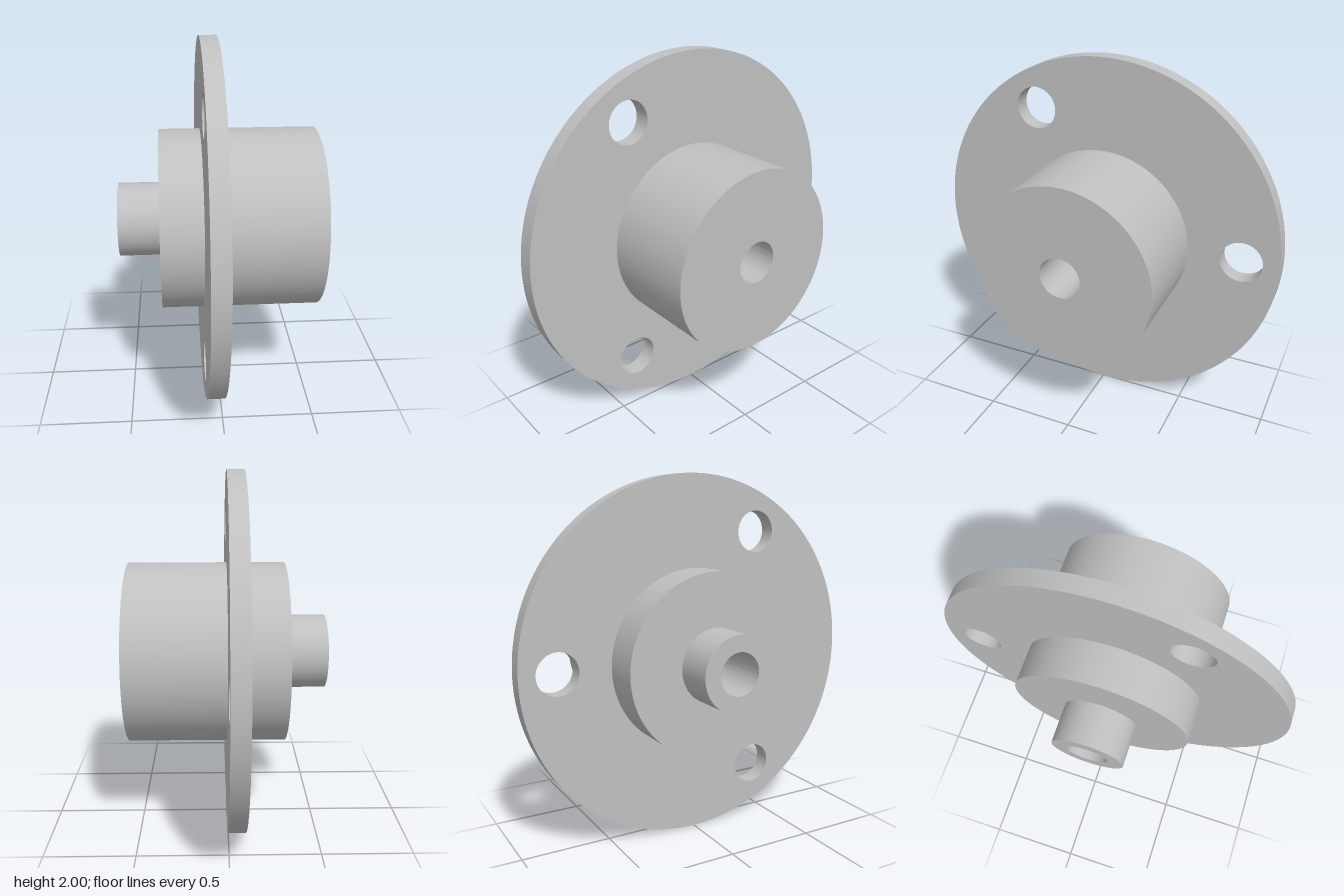
import * as THREE from 'three';
import { toCreasedNormals } from 'three/addons/utils/BufferGeometryUtils.js';

const SEGMENTS = 96;
const HUB_RADIUS = 0.5;
const HOLE_RADIUS = 0.115;

function circle(PathType, x, y, radius) {
  return new PathType().absarc(x, y, radius, 0, Math.PI * 2, false);
}

export function createModel() {
  const group = new THREE.Group();
  group.name = 'flangedHub';
  const metal = new THREE.MeshStandardMaterial({ color: 0xc0c0c0 });
  metal.name = 'light grey metal';

  function add(name, geometry) {
    const mesh = new THREE.Mesh(toCreasedNormals(geometry, 0.6), metal);
    mesh.name = name;
    mesh.position.y = 1;
    group.add(mesh);
  }

  // Stepped hub with a bore right through, turned about the x axis
  const profile = [
    [HOLE_RADIUS, -0.545], [0.205, -0.545], [0.205, -0.315],
    [HUB_RADIUS, -0.315], [HUB_RADIUS, 0.545],
    [HOLE_RADIUS, 0.545], [HOLE_RADIUS, -0.545],
  ].map(([r, x]) => new THREE.Vector2(r, x));
  add('hub', new THREE.LatheGeometry(profile, SEGMENTS).rotateZ(-Math.PI / 2));

  // Round flange with three evenly spaced bolt holes
  const disc = circle(THREE.Shape, 0, 0, 1);
  disc.holes.push(circle(THREE.Path, 0, 0, HUB_RADIUS));
  for (let i = 0; i < 3; i++) {
    const a = (i * Math.PI * 2) / 3;
    disc.holes.push(circle(THREE.Path, 0.795 * Math.cos(a), 0.795 * Math.sin(a), HOLE_RADIUS));
  }
  const flange = new THREE.ExtrudeGeometry(disc, {
    depth: 0.095, bevelEnabled: false, curveSegments: SEGMENTS,
  });
  add('flange', flange.translate(0, 0, -0.09).rotateY(Math.PI / 2));

  return group;
}
